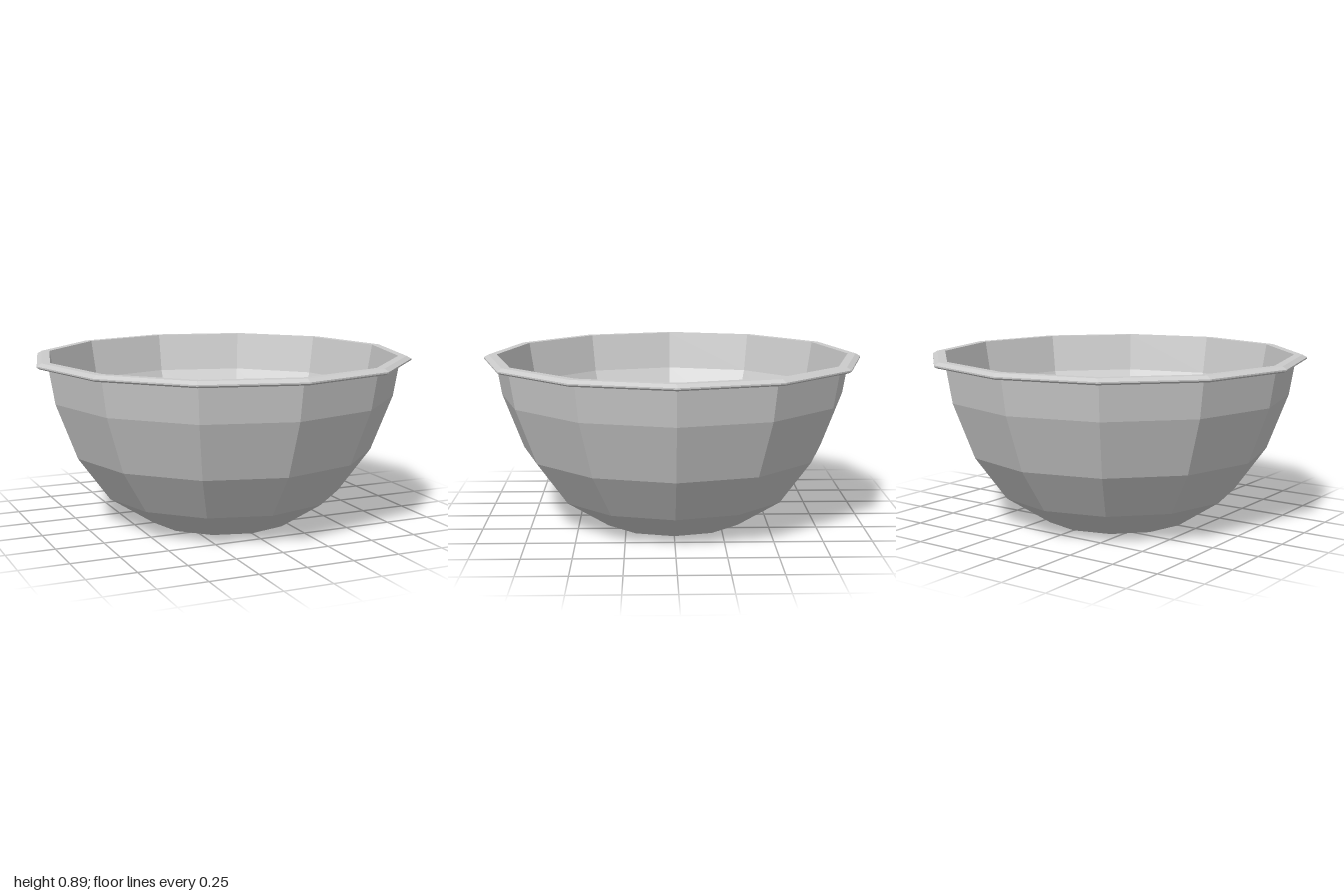
import * as THREE from 'three';

const SIDES = 12;

// Faceted surface of revolution from [radius, height] pairs
function lathe(name, profile, material) {
  const points = profile.map(([r, y]) => new THREE.Vector2(r, y));
  const mesh = new THREE.Mesh(new THREE.LatheGeometry(points, SIDES), material);
  mesh.name = name;
  return mesh;
}

export function createModel() {
  const group = new THREE.Group();
  group.name = 'bowl';
  const material = new THREE.MeshStandardMaterial({ color: 0xcccccc, flatShading: true });

  // Base and outside wall, from the centre of the base upward
  group.add(lathe('outerWall', [
    [0, 0], [0.395, 0], [0.633, 0.155], [0.8, 0.385], [0.91, 0.675], [0.94, 0.857],
  ], material));

  // Overhanging lip with a bevelled edge
  group.add(lathe('rim', [
    [0.94, 0.857], [0.985, 0.857], [1, 0.866], [1, 0.873], [0.975, 0.887], [0.932, 0.887],
  ], material));

  // Inside wall and floor, from the rim downward
  group.add(lathe('innerWall', [
    [0.932, 0.887], [0.895, 0.678], [0.778, 0.392], [0.618, 0.167], [0.39, 0.015], [0, 0.015],
  ], material));

  return group;
}
